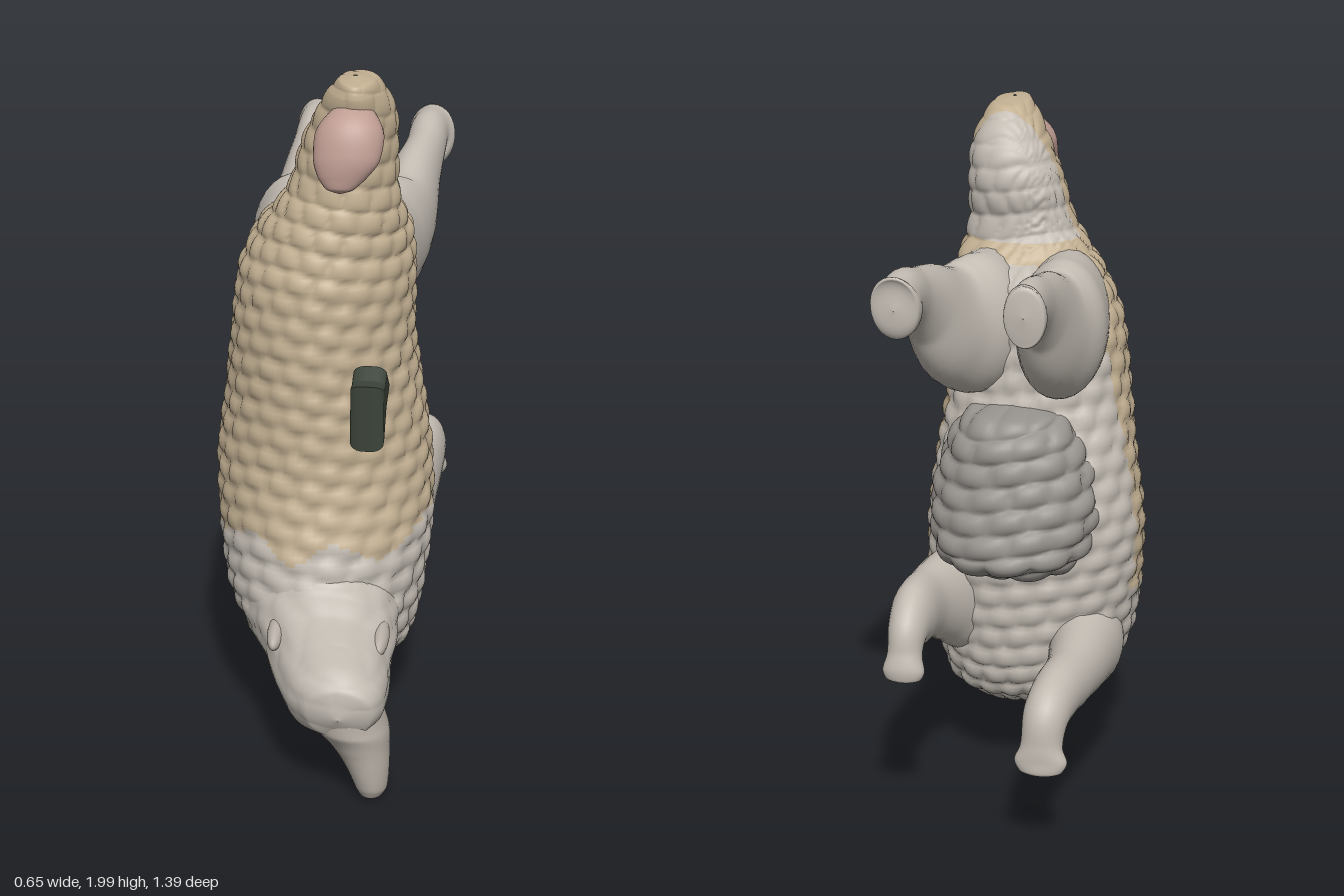
import * as THREE from 'three';

const COLORS = { wool: 0xc4b193, pale: 0xc2bbb2, belly: 0x96928d, pink: 0xbf9d93, muzzle: 0xb5ada4, dark: 0x3b4339 };

// Puffy tufts in staggered rows, with creases between them.
function tufts(p) {
  const u = p.y * 46 + Math.sin(p.x * 9) + 0.6 * Math.sin(p.z * 14);
  const v = 10 * Math.atan2(p.z, p.x) + Math.floor(u / Math.PI) * Math.PI / 2;
  return Math.sqrt(Math.abs(Math.sin(u) * Math.sin(v))) - 0.55;
}

// Smooth closed loft through sections [x, y, z, half width in x, half depth].
// flat keeps the rings level, egg narrows their +z side, keep(point) picks the faces to build.
function loft(sections, { steps = 48, sides = 32, wool = 0, egg = 0, flat = false, keep = () => true } = {}) {
  const path = new THREE.CatmullRomCurve3(sections.map(s => new THREE.Vector3(s[0], s[1], s[2])));
  const radii = new THREE.CatmullRomCurve3(sections.map(s => new THREE.Vector3(s[3], s[4], 0)));
  const across = new THREE.Vector3(1, 0, 0);
  const pos = [], amount = [], index = [], kept = [];
  for (let i = 0; i <= steps; i++) {
    const t = i / steps, c = path.getPoint(t), r = radii.getPoint(t);
    const n = flat ? new THREE.Vector3(0, 0, -1) : path.getTangent(t).cross(across).normalize();
    for (let j = 0; j < sides; j++) {
      const a = j / sides * Math.PI * 2;
      const w = Math.max(r.x, 0.001) * Math.cos(a) * (1 + egg * Math.sin(a));
      const p = c.clone().addScaledVector(across, w).addScaledVector(n, Math.max(r.y, 0.001) * Math.sin(a));
      pos.push(p.x, p.y, p.z);
      amount.push(wool * THREE.MathUtils.clamp(r.x / 0.22, 0, 1));
      if (i < steps) {
        const k = i * sides, b = k + (j + 1) % sides;
        const quad = [k + j, b, b + sides, k + j, b + sides, k + j + sides];
        index.push(...quad);
        if (keep(p)) kept.push(...quad);
      }
    }
  }
  const geo = new THREE.BufferGeometry();
  geo.setAttribute('position', new THREE.Float32BufferAttribute(pos, 3));
  geo.setIndex(index);
  geo.computeVertexNormals();
  if (wool) {
    const P = geo.attributes.position, N = geo.attributes.normal;
    const p = new THREE.Vector3(), n = new THREE.Vector3();
    for (let i = 0; i < P.count; i++) {
      p.fromBufferAttribute(P, i);
      n.fromBufferAttribute(N, i);
      p.addScaledVector(n, amount[i] * tufts(p));
      P.setXYZ(i, p.x, p.y, p.z);
    }
    geo.computeVertexNormals();
  }
  geo.setIndex(kept);
  return geo;
}

// Upright sections given by extents [y, zFront, zBack, xRight, xLeft].
const upright = rows => rows.map(([y, f, b, r, l]) => [(l + r) / 2, y, (f + b) / 2, (l - r) / 2, (f - b) / 2]);

export function createModel() {
  const model = new THREE.Group();
  const add = (name, geo, color, parent = model) => {
    const mesh = new THREE.Mesh(geo, new THREE.MeshStandardMaterial({ color }));
    mesh.name = name;
    parent.add(mesh);
    return mesh;
  };

  // Upended trunk running up into the thick tail: tan back towards +z, pale underside
  const trunk = upright([
    [0.18, 0.11, 0.1, 0.07, 0.08], [0.19, 0.3, -0.02, -0.04, 0.18], [0.23, 0.34, -0.12, -0.13, 0.22],
    [0.3, 0.37, -0.22, -0.21, 0.27], [0.42, 0.4, -0.27, -0.275, 0.295], [0.6, 0.355, -0.29, -0.305, 0.315],
    [0.8, 0.31, -0.3, -0.315, 0.31], [1.0, 0.3, -0.28, -0.29, 0.285], [1.2, 0.3, -0.22, -0.265, 0.26],
    [1.4, 0.295, -0.2, -0.24, 0.26], [1.52, 0.275, -0.17, -0.19, 0.25], [1.61, 0.26, -0.06, -0.12, 0.225],
    [1.68, 0.25, -0.035, -0.08, 0.215], [1.78, 0.25, -0.045, -0.055, 0.215], [1.88, 0.26, -0.02, -0.01, 0.21],
    [1.95, 0.275, 0.03, 0.03, 0.185], [1.985, 0.265, 0.08, 0.06, 0.16], [1.995, 0.18, 0.17, 0.1, 0.11],
  ]);
  const isBack = p => p.y > 0.62 + 0.03 * Math.sin(p.x * 25) && p.z > (p.y > 1.62 ? 0.06 : -0.1);
  const trunkStyle = { steps: 240, sides: 112, wool: 0.016, egg: 0.12, flat: true };
  add('backWool', loft(trunk, { ...trunkStyle, keep: isBack }), COLORS.wool);
  add('underside', loft(trunk, { ...trunkStyle, keep: p => !isBack(p) }), COLORS.pale);

  // Shaggy fleece on the belly
  add('bellyFleece', loft(upright([
    [0.69, -0.2, -0.21, 0.02, 0.03], [0.73, -0.05, -0.38, -0.15, 0.21], [0.79, -0.02, -0.435, -0.2, 0.25],
    [0.9, 0, -0.415, -0.22, 0.26], [1.02, 0, -0.385, -0.2, 0.24], [1.12, -0.02, -0.365, -0.16, 0.2],
    [1.18, -0.05, -0.32, -0.11, 0.15], [1.205, -0.17, -0.18, 0.02, 0.03],
  ]), { steps: 100, sides: 72, wool: 0.022, flat: true }), COLORS.belly);

  // Drooping tip of the tail
  add('tailTip', loft([
    [0.105, 1.92, 0.19, 0, 0], [0.105, 1.9, 0.215, 0.06, 0.045], [0.1, 1.85, 0.27, 0.095, 0.065],
    [0.095, 1.79, 0.305, 0.09, 0.05], [0.085, 1.745, 0.32, 0.065, 0.035], [0.08, 1.715, 0.33, 0.035, 0.02],
    [0.08, 1.705, 0.333, 0, 0],
  ]), COLORS.pink);

  // Neck, skull, muzzle and ears
  const head = new THREE.Group();
  head.name = 'head';
  model.add(head);
  add('neck', loft([
    [0.01, 0.43, 0.05, 0, 0], [0.01, 0.42, 0.12, 0.23, 0.2], [0.02, 0.395, 0.25, 0.225, 0.2],
    [0.045, 0.365, 0.33, 0.2, 0.17], [0.06, 0.34, 0.4, 0.18, 0.15], [0.085, 0.315, 0.51, 0.16, 0.14],
    [0.105, 0.305, 0.61, 0.135, 0.115], [0.12, 0.295, 0.665, 0.095, 0.08], [0.12, 0.29, 0.69, 0, 0],
  ], { steps: 90, sides: 64, wool: 0.009 }), COLORS.pale, head);
  add('muzzle', loft([
    [0.12, 0.37, 0.57, 0, 0], [0.125, 0.33, 0.57, 0.09, 0.1], [0.145, 0.22, 0.56, 0.105, 0.115],
    [0.175, 0.15, 0.57, 0.08, 0.09], [0.195, 0.09, 0.582, 0.06, 0.07], [0.205, 0.035, 0.588, 0.045, 0.055],
    [0.205, 0.015, 0.59, 0.032, 0.04], [0.205, 0.005, 0.59, 0, 0],
  ]), COLORS.muzzle, head);
  for (const side of [1, -1]) {
    const ear = add(side > 0 ? 'leftEar' : 'rightEar', new THREE.SphereGeometry(1, 20, 14), COLORS.muzzle, head);
    ear.scale.set(0.025, 0.03, 0.08);
    ear.position.set(0.06 + side * 0.15, 0.415, 0.41);
    ear.rotation.x = 0.2;
  }

  // Legs, each reaching towards -z and ending in a flared hoof
  const legs = {
    leftHindLeg: [
      [0.12, 1.4, 0.08, 0, 0], [0.13, 1.41, 0, 0.12, 0.19], [0.145, 1.415, -0.15, 0.13, 0.2], [0.19, 1.45, -0.27, 0.105, 0.17],
      [0.22, 1.54, -0.39, 0.075, 0.115], [0.24, 1.595, -0.5, 0.06, 0.08], [0.245, 1.62, -0.58, 0.058, 0.075],
      [0.25, 1.605, -0.62, 0.07, 0.095], [0.25, 1.6, -0.64, 0.065, 0.085], [0.25, 1.6, -0.65, 0, 0],
    ],
    rightHindLeg: [
      [-0.08, 1.4, 0.08, 0, 0], [-0.09, 1.41, 0, 0.12, 0.19], [-0.1, 1.415, -0.15, 0.13, 0.2], [-0.1, 1.45, -0.27, 0.1, 0.17],
      [-0.105, 1.54, -0.39, 0.065, 0.115], [-0.105, 1.595, -0.5, 0.052, 0.08], [-0.105, 1.62, -0.6, 0.05, 0.075],
      [-0.105, 1.61, -0.64, 0.058, 0.09], [-0.105, 1.61, -0.66, 0.055, 0.08], [-0.105, 1.61, -0.67, 0, 0],
    ],
    leftFrontLeg: [
      [0.16, 0.55, 0, 0, 0], [0.18, 0.56, -0.1, 0.12, 0.17], [0.22, 0.61, -0.25, 0.095, 0.135], [0.25, 0.635, -0.38, 0.07, 0.105],
      [0.255, 0.645, -0.48, 0.065, 0.1], [0.255, 0.625, -0.55, 0.055, 0.07], [0.255, 0.57, -0.585, 0.05, 0.045],
      [0.255, 0.53, -0.6, 0.06, 0.04], [0.255, 0.505, -0.605, 0.05, 0.03], [0.255, 0.495, -0.605, 0, 0],
    ],
    rightFrontLeg: [
      [-0.14, 0.45, 0, 0, 0], [-0.16, 0.45, -0.1, 0.12, 0.15], [-0.18, 0.455, -0.25, 0.095, 0.115], [-0.18, 0.46, -0.4, 0.075, 0.09],
      [-0.165, 0.46, -0.52, 0.07, 0.085], [-0.155, 0.435, -0.61, 0.065, 0.075], [-0.15, 0.36, -0.65, 0.06, 0.045],
      [-0.15, 0.32, -0.66, 0.075, 0.035], [-0.15, 0.29, -0.665, 0.06, 0.03], [-0.15, 0.275, -0.665, 0, 0],
    ],
  };
  for (const name in legs) add(name, loft(legs[name], { steps: 64 }), COLORS.pale);

  // Loose dark shard floating off the back
  const outline = new THREE.Shape([[0.68, 1.285], [0.635, 1.285], [0.59, 1.31], [0.5, 1.23], [0.59, 1.185], [0.64, 1.115], [0.68, 1.1]]
    .map(([z, y]) => new THREE.Vector2(-z, y)));
  const shard = new THREE.ExtrudeGeometry(outline, { depth: 0.02, bevelThickness: 0.035, bevelSize: 0.016, bevelOffset: -0.016, bevelSegments: 6 });
  shard.rotateY(Math.PI / 2).translate(0.185, 0, 0);
  add('shard', shard, COLORS.dark);

  return model;
}
